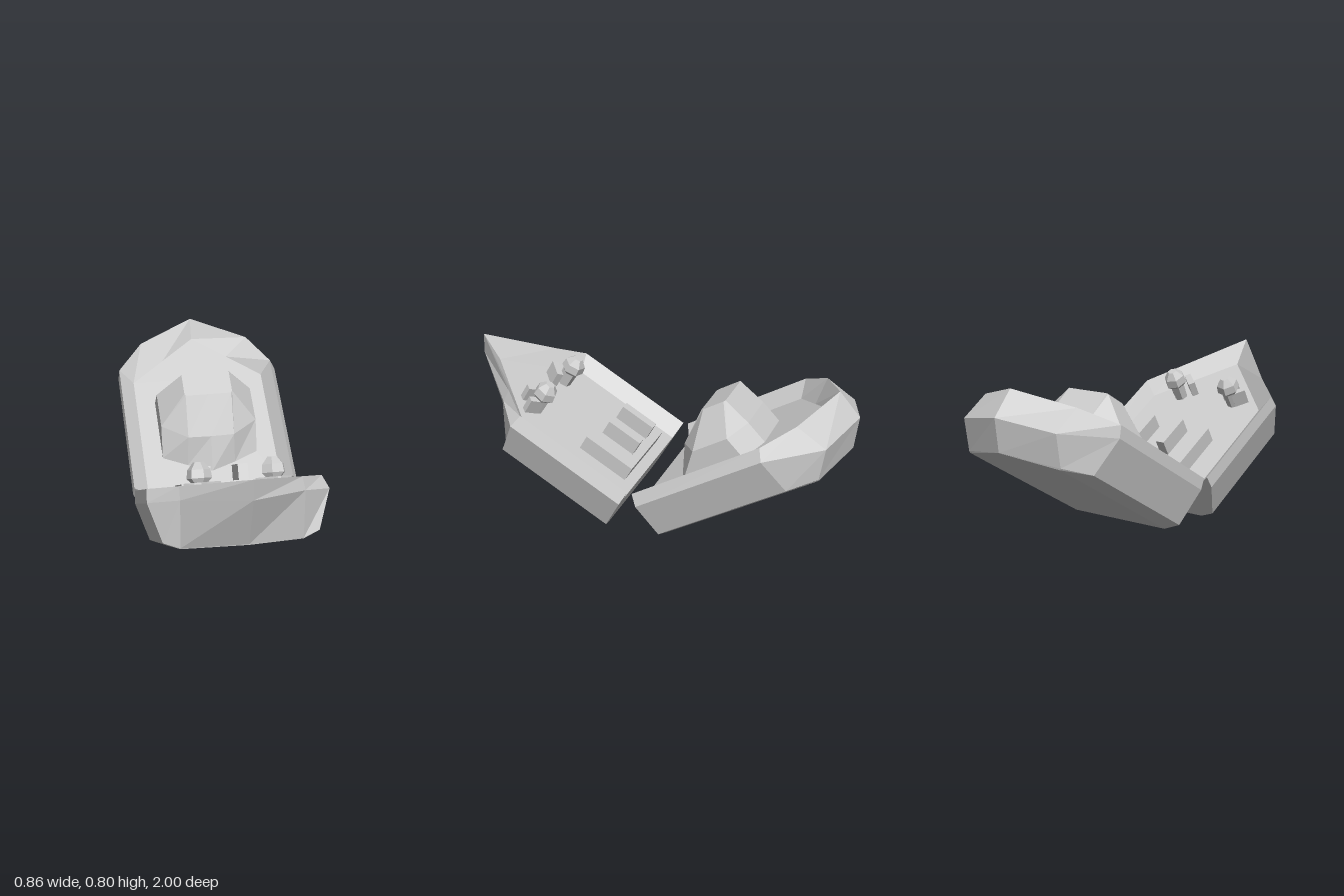
import * as THREE from 'three';

const grey = new THREE.MeshStandardMaterial({ color: 0xcccccc, flatShading: true });

// Skin rows of half outlines. A point is [x, y, z, optional x on the mirrored side].
// The first and last rows are closed on the centre line; cap shuts the z = 0 end.
function loft(name, halfRows, cap) {
  const flat = (row) => row.map(([, y, z]) => [0, y, z]);
  const all = [flat(halfRows[0]), ...halfRows, flat(halfRows[halfRows.length - 1])];
  const rows = all.map((row) => [
    ...row.map(([x, y, z]) => [x, y, z]),
    ...row.map(([x, y, z, left = -x]) => [left, y, z]).reverse(),
  ]);
  const pos = [];
  const tri = (a, b, c) => pos.push(...a, ...b, ...c);
  const n = rows.length - 1, last = rows[0].length - 1;
  for (let i = 0; i < n; i++) {
    for (let j = 0; j < last; j++) {
      const a = rows[i][j], b = rows[i][j + 1], c = rows[i + 1][j + 1], d = rows[i + 1][j];
      tri(a, b, c);
      tri(a, c, d);
    }
  }
  if (cap) {
    for (let i = 2; i <= n; i++) {
      const k = i === n ? 0 : i + 1;
      tri(rows[1][0], rows[i][0], rows[k][0]);
      tri(rows[1][last], rows[k][last], rows[i][last]);
    }
  }
  const g = new THREE.BufferGeometry();
  g.setAttribute('position', new THREE.Float32BufferAttribute(pos, 3));
  g.computeVertexNormals();
  const mesh = new THREE.Mesh(g, grey);
  mesh.name = name;
  return mesh;
}

function box(name, w, h, d, x, y, z, yaw = 0) {
  const mesh = new THREE.Mesh(new THREE.BoxGeometry(w, h, d), grey);
  mesh.name = name;
  mesh.position.set(x, y, z);
  mesh.rotation.y = yaw;
  return mesh;
}

const DECK = -0.07;

// Pointed front half: deck, rim, side crease, chine, bottom
function frontHull() {
  return loft('frontHull', [
    [[0.35, DECK, 0], [0.35, DECK, 0.61], [0.2, DECK, 0.76], [0, DECK, 0.96]],
    [[0.4, 0, 0, -0.425], [0.4, 0, 0.65, -0.425], [0.28, 0, 0.785, -0.29], [0, 0, 1.1]],
    [[0.43, -0.065, 0], [0.43, -0.065, 0.66], [0.29, -0.065, 0.78], [0, -0.09, 1.05]],
    [[0.37, -0.255, 0], [0.37, -0.255, 0.646], [0.29, -0.285, 0.652], [0, -0.286, 0.835]],
    [[0.29, -0.289, 0], [0.29, -0.289, 0.648], [0.288, -0.289, 0.65], [0, -0.289, 0.834]],
  ], true);
}

// Blunt rear half
function rearHull() {
  return loft('rearHull', [
    [[0.35, DECK, 0], [0.35, DECK, 0.7], [0.175, DECK, 0.835], [0, DECK, 0.97]],
    [[0.425, 0, 0, -0.4], [0.425, 0, 0.74, -0.4], [0.29, 0, 0.908], [0, 0, 1.058]],
    [[0.43, -0.06, 0], [0.43, -0.06, 0.725], [0.29, -0.155, 0.985], [0, -0.157, 1.088]],
    [[0.37, -0.255, 0], [0.37, -0.255, 0.74], [0.29, -0.282, 0.88], [0, -0.289, 0.986]],
    [[0.29, -0.289, 0], [0.29, -0.289, 0.745], [0.285, -0.289, 0.875], [0, -0.289, 0.984]],
  ], true);
}

// Faceted cabin dome on the rear deck
function cabin() {
  return loft('cabinDome', [
    [[0, 0.195, 0.413], [0.12, 0.195, 0.413], [0.125, 0.195, 0.425], [0.125, 0.195, 0.545], [0.12, 0.195, 0.555], [0, 0.195, 0.555]],
    [[0, 0.065, 0.237], [0.12, 0.065, 0.24], [0.25, 0.05, 0.33], [0.25, 0.05, 0.53], [0.125, 0.05, 0.61], [0, 0.05, 0.61]],
    [[0, DECK, 0.11], [0.125, DECK, 0.155], [0.25, DECK, 0.21], [0.25, DECK, 0.56], [0.125, DECK, 0.64], [0, DECK, 0.64]],
  ], false);
}

// Small faceted post with two angled foot bars; s mirrors it
function deckPost(s) {
  const post = new THREE.Group();
  post.name = s > 0 ? 'leftDeckPost' : 'rightDeckPost';
  const profile = [[0, -0.07], [0.035, -0.07], [0.04, 0.01], [0.06, 0.03], [0.055, 0.07], [0.025, 0.105], [0, 0.105]];
  const head = new THREE.Mesh(
    new THREE.LatheGeometry(profile.map(([r, y]) => new THREE.Vector2(r, y)), 6), grey);
  head.name = 'postHead';
  head.position.set(s * 0.175, 0, 0.635);
  head.rotation.y = s * Math.PI / 4;
  post.add(
    head,
    box('innerFootBar', 0.1, 0.08, 0.035, s * 0.13, -0.03, 0.695, -s * 0.75),
    box('outerFootBar', 0.075, 0.08, 0.035, s * 0.215, -0.03, 0.65, -s * 0.75));
  return post;
}

export function createModel() {
  const model = new THREE.Group();
  model.name = 'splitPod';

  // Each half is built lying flat from its hinge end, then tipped up by 30 degrees
  const front = new THREE.Group();
  front.name = 'frontHalf';
  front.add(frontHull(), box('consoleBase', 0.45, 0.08, 0.28, 0, -0.03, 0.195));
  for (const x of [-0.095, 0.09]) front.add(box('consoleSlat', 0.05, 0.08, 0.19, x, 0.05, 0.195));
  for (const s of [1, -1]) front.add(deckPost(s));
  front.position.set(0, 0.25, 0.045);
  front.rotation.x = -Math.PI / 6;

  const rear = new THREE.Group();
  rear.name = 'rearHalf';
  rear.add(rearHull(), cabin());
  rear.position.set(0, 0.25, 0.02);
  rear.rotation.set(Math.PI / 6, Math.PI, 0);

  model.add(front, rear);
  return model;
}
